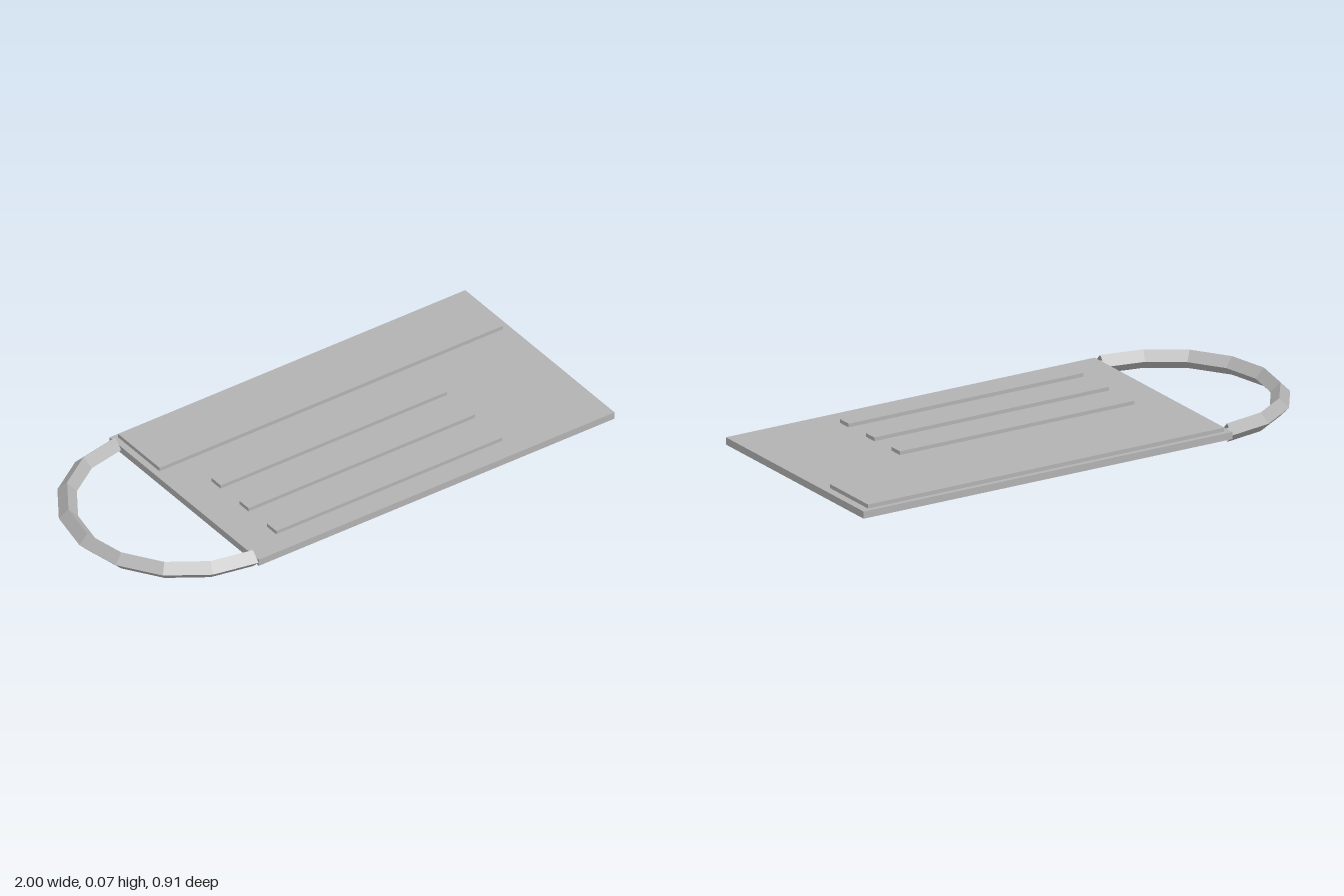
import * as THREE from 'three';

export function createModel() {
  const model = new THREE.Group();
  const grey = new THREE.MeshStandardMaterial({ color: 0xb2b2b2, flatShading: true });
  grey.name = 'grey';
  const greyOpen = grey.clone();
  greyOpen.side = THREE.DoubleSide;

  // Box given by its lower and upper limits on each axis
  function slab(name, [x0, x1], [y0, y1], [z0, z1]) {
    const mesh = new THREE.Mesh(new THREE.BoxGeometry(x1 - x0, y1 - y0, z1 - z0), grey);
    mesh.position.set((x0 + x1) / 2, (y0 + y1) / 2, (z0 + z1) / 2);
    mesh.name = name;
    model.add(mesh);
  }

  // Flat tag body with a raised header band
  slab('plate', [-0.545, 1], [0.023, 0.05], [-0.456, 0.456]);
  slab('headerBand', [-0.52, 0.97], [0.049, 0.065], [-0.438, -0.185]);

  // Three raised lines
  for (let i = 0; i < 3; i++) {
    const z = -0.002 + i * 0.17;
    slab('line' + (i + 1), [-0.405, 0.578], [0.049, 0.064], [z - 0.028, z + 0.028]);
  }

  // Half-ring loop with a diamond cross-section
  const ring = new THREE.TorusGeometry(0.42, 0.035, 4, 8, Math.PI);
  ring.rotateZ(Math.PI / 2).rotateX(Math.PI / 2);
  const loop = new THREE.Mesh(ring, greyOpen);
  loop.position.set(-0.545, 0.036, 0);
  loop.name = 'loop';
  model.add(loop);

  return model;
}
